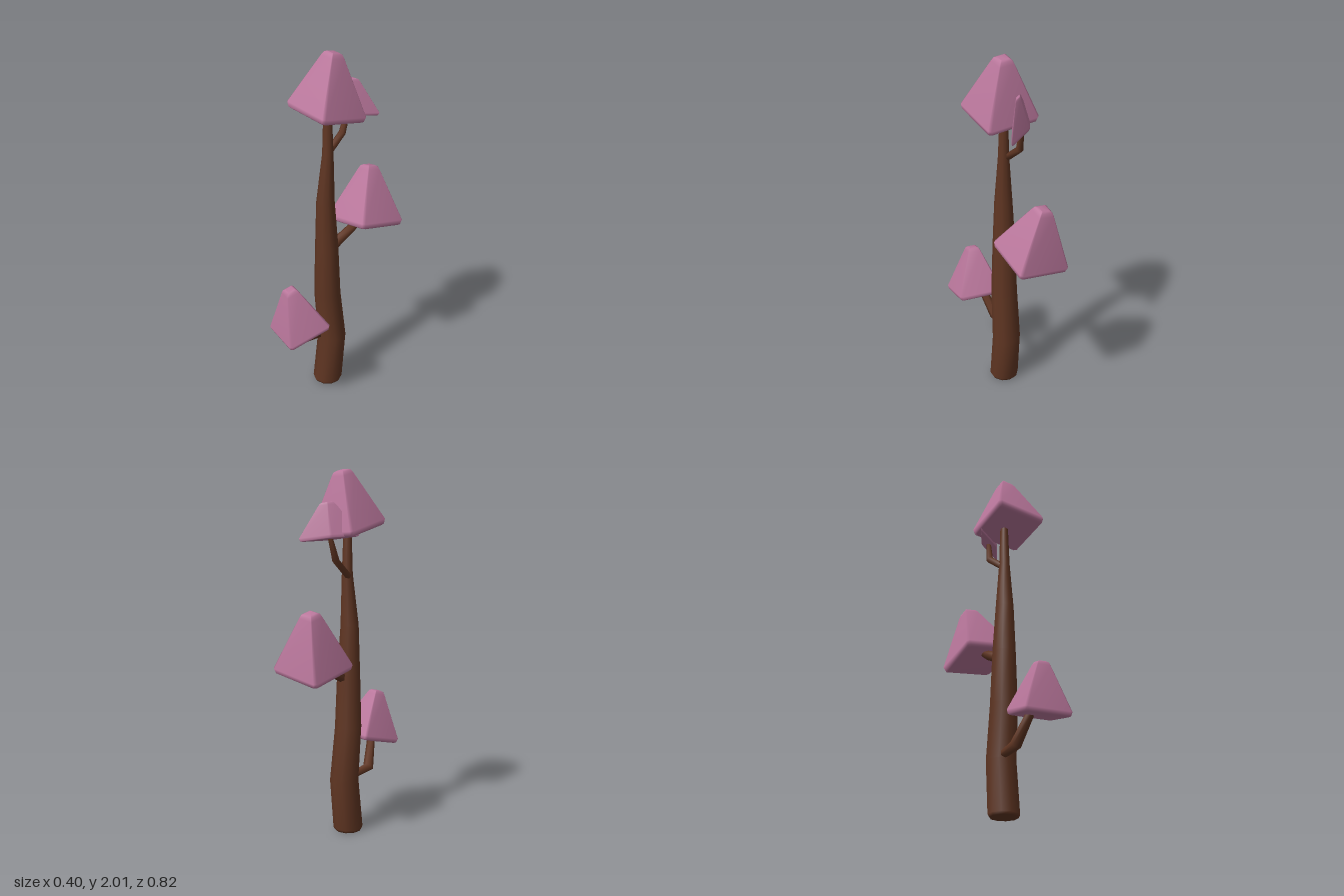
import * as THREE from 'three';

const bark = new THREE.MeshStandardMaterial({ color: 0x5f3522 });
bark.name = 'brown bark';
const blossom = new THREE.MeshStandardMaterial({ color: 0xba779c });
blossom.name = 'pink foliage';

const V = (a) => new THREE.Vector3(...a);

// Skin a stack of rings into a closed smooth solid.
function loft(rings, material, name) {
  const n = rings[0].length;
  const pos = rings.flat().flatMap((p) => p.toArray());
  const index = [];
  for (let i = 0; i < rings.length - 1; i++) {
    for (let k = 0; k < n; k++) {
      const a = i * n + k, b = i * n + (k + 1) % n;
      index.push(a, b, b + n, a, b + n, a + n);
    }
  }
  const top = (rings.length - 1) * n;
  for (let k = 1; k < n - 1; k++) {
    index.push(0, k + 1, k, top, top + k, top + k + 1);
  }
  const geo = new THREE.BufferGeometry();
  geo.setAttribute('position', new THREE.Float32BufferAttribute(pos, 3));
  geo.setIndex(index);
  geo.computeVertexNormals();
  const mesh = new THREE.Mesh(geo, material);
  mesh.name = name;
  return mesh;
}

// Tapered limb through points [x, y, z, radius].
function limb(name, path, sides) {
  const c = path.map((p) => V(p.slice(0, 3)));
  let u = new THREE.Vector3(1, 0, 0);
  const rings = c.map((p, i) => {
    const before = c[Math.max(i - 1, 0)], after = c[Math.min(i + 1, c.length - 1)];
    const t = name === 'trunk' ? V([0, 1, 0]) : after.clone().sub(before).normalize();
    u = u.clone().addScaledVector(t, -u.dot(t)).normalize();
    const w = t.clone().cross(u);
    return Array.from({ length: sides }, (_, k) => {
      const a = ((k + 0.5) / sides) * Math.PI * 2, r = path[i][3];
      return p.clone().addScaledVector(u, r * Math.cos(a)).addScaledVector(w, r * Math.sin(a));
    });
  });
  return loft(rings, bark, name);
}

// Bevelled four-sided crown: base centre, half edges across and backward, apex.
function crown(name, centre, across, back, apex) {
  const m = 0.91;
  const square = [[1, -m], [1, m], [m, 1], [-m, 1], [-1, m], [-1, -m], [-m, -1], [m, -1]];
  const levels = [[-0.06, 0.9], [-0.04, 0.96], [0.04, 1], [0.92, 0.29], [0.98, 0.23], [1, 0.15]];
  const c = V(centre), u = V(across), v = V(back), axis = V(apex).sub(c);
  const rings = levels.map(([t, s]) => square.map(([a, b]) =>
    c.clone().addScaledVector(axis, t).addScaledVector(u, a * s).addScaledVector(v, b * s)));
  return loft(rings, blossom, name);
}

export function createModel() {
  const tree = new THREE.Group();
  tree.name = 'tree';

  // Trunk
  tree.add(limb('trunk', [
    [-0.02, 0, 0.03, 0.074], [-0.02, 0.015, 0.03, 0.083], [-0.02, 0.3, 0, 0.08],
    [-0.02, 0.6, 0.03, 0.074], [-0.02, 0.9, 0.033, 0.064], [-0.02, 1.17, 0.04, 0.05],
    [-0.015, 1.45, 0.027, 0.03], [-0.017, 1.75, 0.027, 0.02],
  ], 10));

  // Branches
  tree.add(limb('lowBranch', [
    [-0.04, 0.31, 0, 0.02], [-0.03, 0.335, 0.18, 0.03], [0.03, 0.53, 0.27, 0.02],
  ], 6));
  tree.add(limb('middleBranch', [
    [-0.02, 0.88, 0, 0.03], [-0.03, 0.95, -0.14, 0.026], [-0.04, 1.02, -0.24, 0.022],
  ], 6));
  tree.add(limb('highBranch', [
    [-0.03, 1.44, 0.02, 0.02], [-0.05, 1.53, -0.09, 0.02], [-0.04, 1.68, -0.13, 0.012],
  ], 6));

  // Crowns
  tree.add(crown('topCrown', [0, 1.695, 0.045],
    [0.15, -0.01, -0.015], [-0.016, -0.03, -0.146], [0, 2, 0.002]));
  tree.add(crown('middleCrown', [-0.04, 0.972, -0.245],
    [0.151, 0.025, -0.016], [-0.01, -0.033, -0.147], [-0.083, 1.277, -0.3]));
  tree.add(crown('lowCrown', [0.057, 0.49, 0.268],
    [0.128, 0, 0.0125], [0.01, 0.032, -0.125], [0.045, 0.75, 0.322]));
  tree.add(crown('smallCrown', [-0.038, 1.655, -0.125],
    [0.076, -0.013, -0.048], [0.037, -0.003, -0.073].map((n, i) => n + [0.001, 0, 0][i]),
    [-0.02, 1.835, -0.125]));
  return tree;
}
